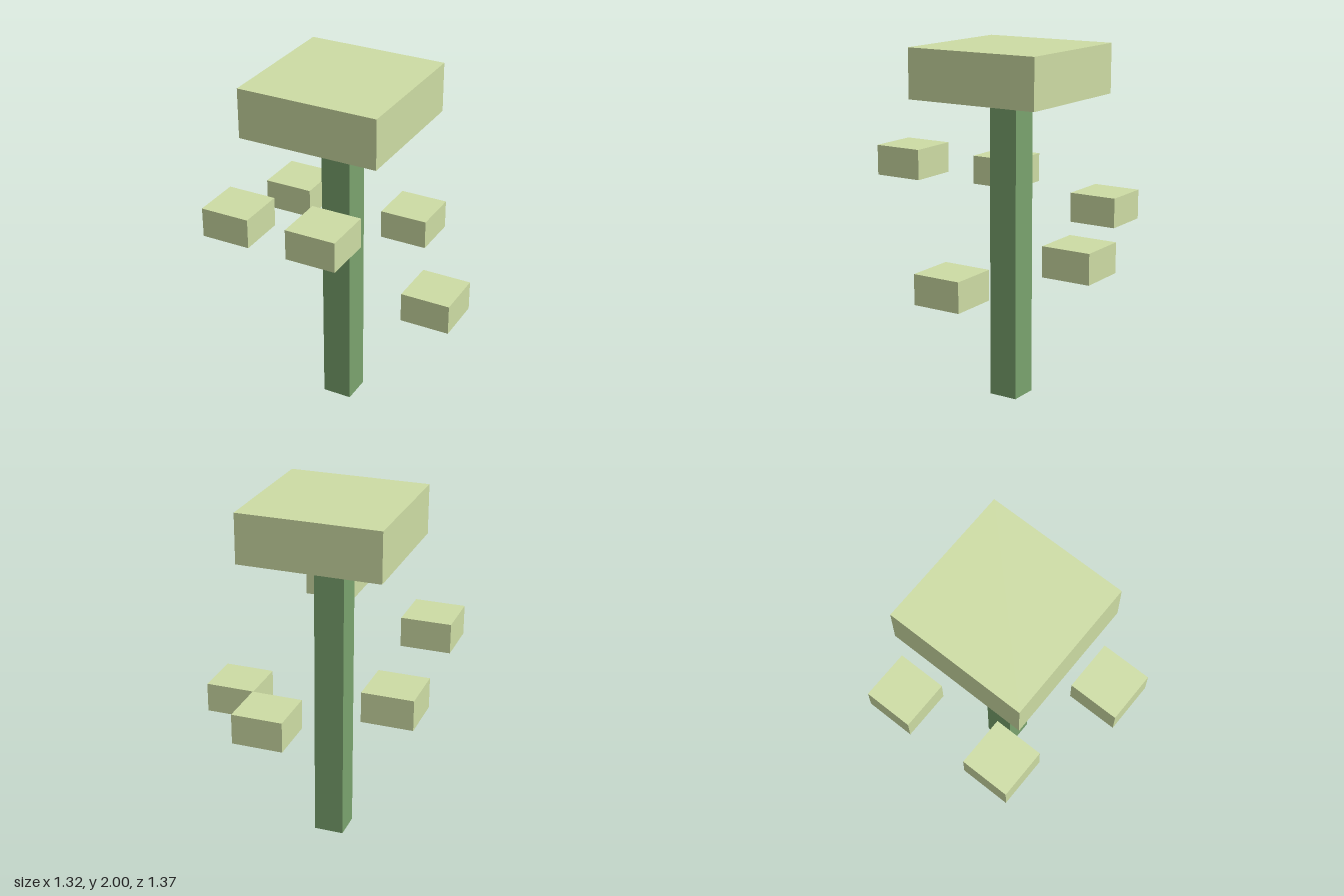
import * as THREE from 'three';

export function createModel() {
  const model = new THREE.Group();
  const bark = new THREE.MeshStandardMaterial({ color: 0x7aa36e, flatShading: true });
  const leaf = new THREE.MeshStandardMaterial({ color: 0xcddca4, flatShading: true });

  const addBox = (name, material, [w, h, d], [x, y, z]) => {
    const mesh = new THREE.Mesh(new THREE.BoxGeometry(w, h, d), material);
    mesh.name = name;
    mesh.position.set(x, y, z);
    model.add(mesh);
  };

  // Square trunk carrying a broad slab of foliage
  addBox('trunk', bark, [0.17, 1.72, 0.17], [-0.058, 0.86, 0]);
  addBox('canopy', leaf, [0.798, 0.28, 0.798], [-0.057, 1.86, 0]);

  // Floating leaf blocks spiral down evenly around the trunk
  const radius = 0.573, count = 5;
  for (let i = 0; i < count; i++) {
    const angle = (0.2 + i * 0.4) * Math.PI;
    addBox(`leafBlock${i + 1}`, leaf, [0.284, 0.17, 0.284], [
      -0.058 + radius * Math.cos(angle + Math.PI * 0.2),
      1.345 - i * 0.143,
      radius * Math.sin(angle + Math.PI * 0.2),
    ]);
  }
  return model;
}
